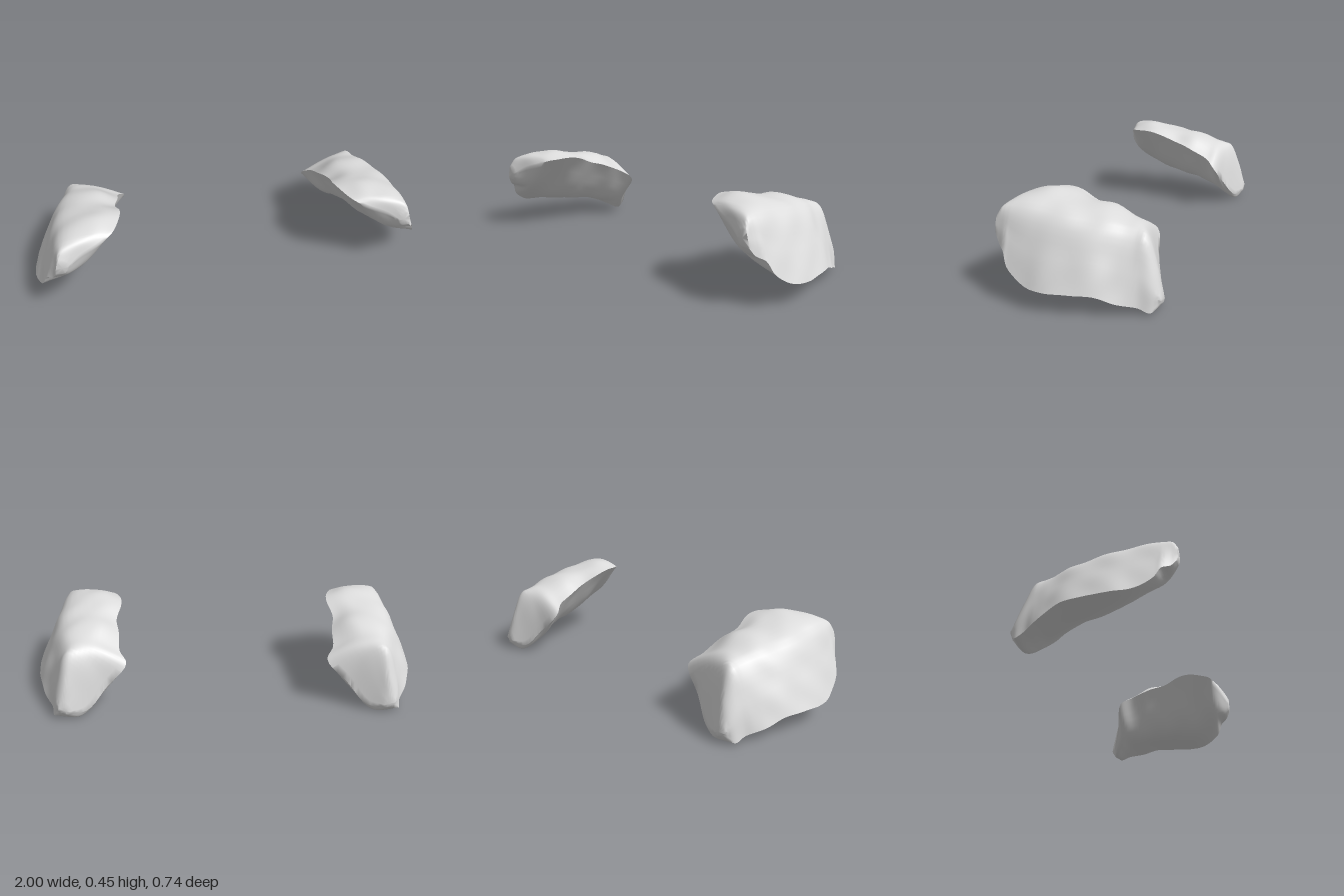
import * as THREE from 'three';
import { toCreasedNormals } from 'three/addons/utils/BufferGeometryUtils.js';

// Cross-sections from front to back: z, then x,y of
// inner edge, top, shoulder, outer lower edge, underside
const SECTIONS = [
  [0.37, 0.82, 0.32, 0.83, 0.345, 0.86, 0.36, 0.88, 0.29, 0.84, 0.29],
  [0.345, 0.76, 0.355, 0.80, 0.395, 0.85, 0.40, 0.90, 0.25, 0.82, 0.265],
  [0.31, 0.65, 0.395, 0.73, 0.425, 0.845, 0.41, 0.93, 0.225, 0.79, 0.25],
  [0.28, 0.60, 0.415, 0.70, 0.437, 0.845, 0.41, 0.955, 0.165, 0.79, 0.225],
  [0.19, 0.56, 0.425, 0.67, 0.45, 0.845, 0.405, 0.985, 0.11, 0.79, 0.185],
  [0.10, 0.55, 0.41, 0.67, 0.433, 0.845, 0.395, 1.00, 0.10, 0.77, 0.155],
  [0.00, 0.565, 0.37, 0.66, 0.407, 0.835, 0.38, 0.99, 0.10, 0.75, 0.135],
  [-0.10, 0.545, 0.335, 0.66, 0.40, 0.82, 0.37, 0.965, 0.098, 0.73, 0.12],
  [-0.19, 0.538, 0.295, 0.67, 0.36, 0.79, 0.35, 0.935, 0.07, 0.69, 0.10],
  [-0.245, 0.50, 0.25, 0.67, 0.335, 0.78, 0.342, 0.905, 0.05, 0.66, 0.085],
  [-0.285, 0.60, 0.14, 0.70, 0.29, 0.78, 0.33, 0.88, 0.035, 0.68, 0.05],
  [-0.335, 0.70, 0.04, 0.75, 0.16, 0.79, 0.215, 0.865, 0.015, 0.74, 0.005],
  [-0.37, 0.78, 0.05, 0.79, 0.07, 0.81, 0.08, 0.82, 0.05, 0.80, 0.04],
];
const ROWS = 60, UPPER = 22, LOWER = 12, RING = UPPER + LOWER;

// Builds one curved pad; side is +1 (left) or -1 (right)
function padGeometry(side) {
  const rail = k => new THREE.CatmullRomCurve3(
    SECTIONS.map(s => new THREE.Vector3(s[1 + 2 * k], s[2 + 2 * k], s[0])));
  const [inner, top, shoulder, outer, under] = [0, 1, 2, 3, 4].map(rail);
  const pos = [], index = [];
  const tri = (a, b, c) => (side > 0 ? index.push(a, b, c) : index.push(a, c, b));
  const add = p => pos.push(p.x * side, p.y, p.z);

  for (let i = 0; i <= ROWS; i++) {
    const t = i / ROWS;
    const [a, p, c, b, u] = [inner, top, shoulder, outer, under].map(r => r.getPoint(t));
    const flank = c.clone().lerp(b, 0.5);
    flank.x += 0.005 + 0.015 * t;
    const over = new THREE.CatmullRomCurve3([a, p, c, flank, b]);
    const below = new THREE.CatmullRomCurve3([b, u, a]);
    for (let j = 0; j < RING; j++) {
      const v = j < UPPER ? over.getPoint(j / UPPER) : below.getPoint((j - UPPER) / LOWER);
      // soft mottled dents
      const fade = 0.003 * Math.sin(Math.PI * t);
      v.y += fade * Math.sin(v.z * 31 + v.x * 12) * Math.cos(v.x * 27);
      v.x += fade * Math.sin(v.z * 29 + v.y * 9) * Math.cos(v.y * 24);
      v.x = Math.min(v.x, 1);
      add(v);
    }
  }
  for (let i = 0; i < ROWS; i++) {
    for (let j = 0; j < RING; j++) {
      const k = (j + 1) % RING;
      const q = i * RING + j, r = i * RING + k;
      tri(q, r, q + RING);
      tri(r, r + RING, q + RING);
    }
  }
  // close both ends
  for (const row of [0, ROWS]) {
    const mid = new THREE.Vector3();
    for (const r of [inner, top, shoulder, outer, under]) mid.addScaledVector(r.getPoint(row / ROWS), 0.2);
    const centre = pos.length / 3;
    add(mid);
    for (let j = 0; j < RING; j++) {
      const q = row * RING + j, r = row * RING + (j + 1) % RING;
      if (row === 0) tri(centre, r, q);
      else tri(centre, q, r);
    }
  }
  const geometry = new THREE.BufferGeometry();
  geometry.setAttribute('position', new THREE.Float32BufferAttribute(pos, 3));
  geometry.setIndex(index);
  return toCreasedNormals(geometry, 1.25);
}

export function createModel() {
  const group = new THREE.Group();
  group.name = 'shoulderPads';
  const paleGrey = new THREE.MeshStandardMaterial({ color: 0xdcdcdc });
  paleGrey.name = 'pale grey';
  for (const [name, side] of [['leftPad', 1], ['rightPad', -1]]) {
    const pad = new THREE.Mesh(padGeometry(side), paleGrey);
    pad.name = name;
    group.add(pad);
  }
  return group;
}
